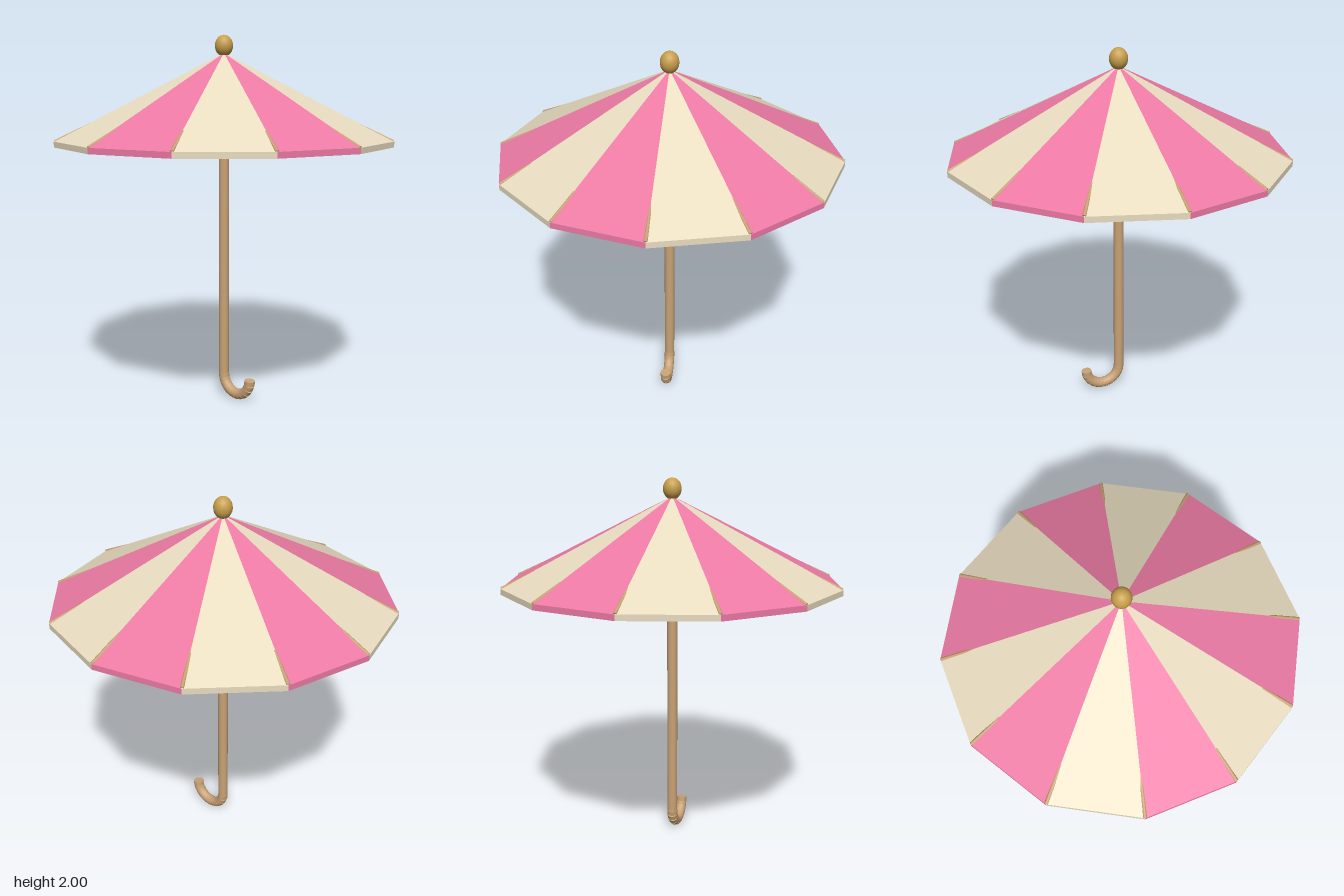
import * as THREE from 'three';

const PANELS = 12;
const STEP = (Math.PI * 2) / PANELS;
const RIM = 0.908;

const mat = (color, flatShading = false) => {
  const m = new THREE.MeshStandardMaterial({ color });
  m.flatShading = flatShading;
  return m;
};

// Cylinder running from point a to point b
function rod(name, a, b, radius, sides, material) {
  const dir = b.clone().sub(a);
  const mesh = new THREE.Mesh(new THREE.CylinderGeometry(radius, radius, dir.length(), sides), material);
  mesh.position.copy(a).add(b).multiplyScalar(0.5);
  mesh.quaternion.setFromUnitVectors(new THREE.Vector3(0, 1, 0), dir.normalize());
  mesh.name = name;
  return mesh;
}

export function createModel() {
  const model = new THREE.Group();
  model.name = 'parasol';

  const wood = mat(0xc9a276);
  const gold = mat(0xc8a04c);
  const pink = mat(0xec7aa4, true);
  const cream = mat(0xe8dcc0, true);

  // Canopy: thick flat wedges in alternating colours
  const canopy = new THREE.Group();
  canopy.name = 'canopy';
  const section = [[0, 1.875], [RIM, 1.42], [RIM, 1.45], [0, 1.905]].map(([x, y]) => new THREE.Vector2(x, y));
  for (let i = 0; i < PANELS; i++) {
    const panel = new THREE.Mesh(new THREE.LatheGeometry(section, 1, i * STEP, STEP), i % 2 ? cream : pink);
    panel.name = 'canopyPanel';
    canopy.add(panel);
  }
  model.add(canopy);

  // Ribs: below the cloth near the pole, rising through it at the rim
  const ribs = new THREE.Group();
  ribs.name = 'ribs';
  for (let i = 0; i < PANELS; i++) {
    const s = Math.sin(i * STEP), c = Math.cos(i * STEP);
    const inner = new THREE.Vector3(0, 1.865, 0);
    const outer = new THREE.Vector3(s * 0.903, 1.449, c * 0.903);
    ribs.add(rod('rib', inner, outer, 0.01, 8, wood));
  }
  model.add(ribs);

  // Pole
  model.add(rod('pole', new THREE.Vector3(0, 0.13, 0), new THREE.Vector3(0, 1.88, 0), 0.028, 16, wood));

  // Hooked handle: short cylinders along a half circle
  const handle = new THREE.Group();
  handle.name = 'handle';
  const SEGMENTS = 12;
  const onHook = (i) => {
    const a = Math.PI + (Math.PI * i) / SEGMENTS;
    return new THREE.Vector3(0.1 + 0.1 * Math.cos(a), 0.131 + 0.1 * Math.sin(a), 0);
  };
  for (let i = 0; i < SEGMENTS; i++) {
    handle.add(rod('handleSegment', onHook(i), onHook(i + 1), 0.029, 16, wood));
  }
  model.add(handle);

  // Finial
  const finial = new THREE.Mesh(new THREE.SphereGeometry(0.049, 20, 14), gold);
  finial.scale.y = 1.17;
  finial.position.y = 1.943;
  finial.name = 'finial';
  model.add(finial);

  return model;
}
